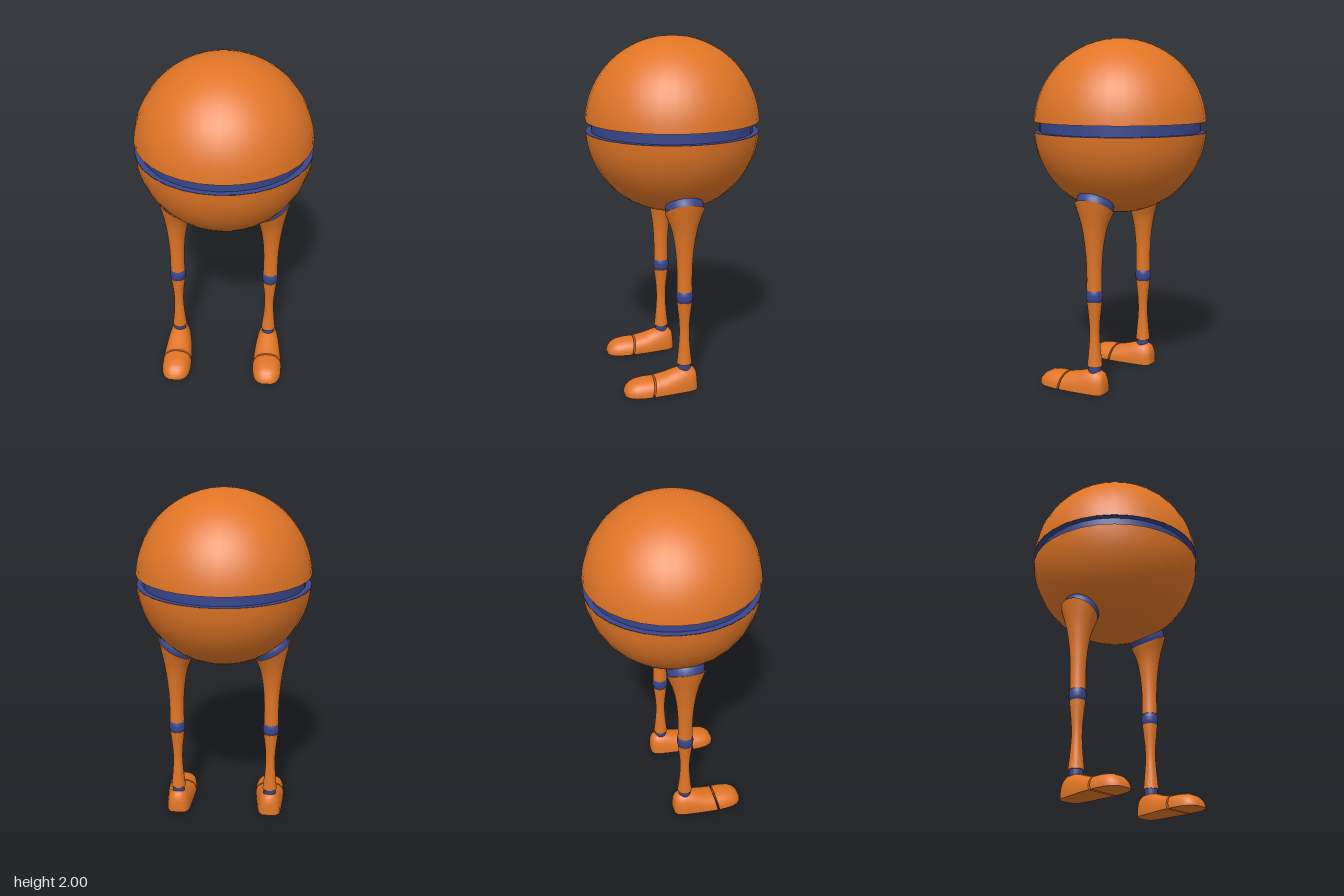
import * as THREE from 'three';
import { toCreasedNormals } from 'three/addons/utils/BufferGeometryUtils.js';

const orange = new THREE.MeshStandardMaterial({ color: 0xe07526 });
orange.name = 'orange shell';
const blue = new THREE.MeshStandardMaterial({ color: 0x38468c });
blue.name = 'blue joint';

const CREASE = 0.7;
const HIP_Y = 1.068, KNEE_Y = 0.6, LEG_X = 0.284, TILT = 0.505;

function part(name, geometry, material) {
  const mesh = new THREE.Mesh(toCreasedNormals(geometry, CREASE), material);
  mesh.name = name;
  return mesh;
}

// Turned shape from [radius, y] pairs, listed bottom to top.
function turned(points, segments = 24) {
  return new THREE.LatheGeometry(points.map(([r, y]) => new THREE.Vector2(r, y)), segments);
}

// Same, with the profile smoothed by a spline and both ends closed.
function turnedSmooth(points, steps = 14) {
  const curve = new THREE.SplineCurve(points.map(([r, y]) => new THREE.Vector2(r, y)));
  const p = curve.getPoints(steps).map((v) => [v.x, v.y]);
  return turned([[0, p[0][1]], ...p, [0, p[p.length - 1][1]]]);
}

// Half of the ball body, cut just above or below the middle.
function halfBall(sign) {
  const R = 0.495, cut = Math.asin(0.03 / R), pts = [];
  for (let i = 0; i <= 16; i++) {
    const a = cut + (Math.PI / 2 - cut) * (i / 16);
    pts.push([i === 16 ? 0 : R * Math.cos(a), 1.505 + sign * R * Math.sin(a)]);
  }
  return turned(sign > 0 ? pts : pts.reverse(), 32);
}

// Flat-soled loft along z; sections are [z, halfWidth, height, lean].
function soleLoft(sections) {
  const N = 18, pos = [], idx = [];
  for (const [z, w, h, lean] of sections) {
    for (let j = 0; j <= N; j++) {
      const a = Math.PI * j / N, c = Math.cos(a), s = Math.max(0, Math.sin(a));
      const y = h * Math.pow(s, 0.85);
      pos.push(w * Math.sign(c) * Math.pow(Math.abs(c), 0.85), y, z - lean * y);
    }
  }
  const ring = N + 1, last = (sections.length - 1) * ring;
  for (let i = 0; i < sections.length - 1; i++) {
    for (let j = 0; j < ring; j++) {
      const k = (j + 1) % ring;
      const a = i * ring + j, b = i * ring + k, c = b + ring, d = a + ring;
      idx.push(a, b, c, a, c, d);
    }
  }
  for (let j = 1; j < N; j++) {
    idx.push(0, j + 1, j);
    idx.push(last, last + j, last + j + 1);
  }
  const g = new THREE.BufferGeometry();
  g.setAttribute('position', new THREE.Float32BufferAttribute(pos, 3));
  g.setIndex(idx);
  return g;
}

// Thigh flares upward while its rings tilt to face the ball.
function thighGeometry(side) {
  const g = turnedSmooth([[0.044, KNEE_Y], [0.043, 0.68], [0.046, 0.77], [0.056, 0.87],
    [0.076, 0.97], [0.112, HIP_Y]], 20);
  const p = g.attributes.position;
  for (let i = 0; i < p.count; i++) {
    const x = p.getX(i), y = p.getY(i);
    const angle = side * TILT * Math.pow((y - KNEE_Y) / (HIP_Y - KNEE_Y), 2);
    p.setXY(i, x * Math.cos(angle), y + x * Math.sin(angle));
  }
  return g;
}

function leg(side) {
  const g = new THREE.Group();
  g.name = side > 0 ? 'leftLeg' : 'rightLeg';
  g.position.x = side * LEG_X;

  const hip = part('hipJoint', turned([[0, -0.01], [0.104, -0.01], [0.108, 0.02],
    [0.106, 0.04], [0.098, 0.055], [0, 0.06]]), blue);
  hip.position.y = HIP_Y;
  hip.rotation.z = side * TILT;
  g.add(hip);

  g.add(part('thigh', thighGeometry(side), orange));
  g.add(part('kneeJoint', turnedSmooth([[0.04, 0.532], [0.047, 0.55], [0.048, 0.568],
    [0.047, 0.585], [0.04, 0.603]], 10), blue));
  g.add(part('shin', turnedSmooth([[0.044, 0.155], [0.036, 0.23], [0.029, 0.33],
    [0.031, 0.41], [0.038, 0.48], [0.044, 0.535]], 18), orange));
  g.add(part('ankleJoint', turned([[0, 0.11], [0.037, 0.11], [0.036, 0.157], [0, 0.157]]), blue));

  g.add(part('foot', soleLoft([
    [-0.072, 0.03, 0.07, 0], [-0.067, 0.045, 0.1, 0], [-0.055, 0.058, 0.12, 0],
    [-0.03, 0.068, 0.13, 0], [0.02, 0.075, 0.13, 0], [0.06, 0.079, 0.12, 0],
    [0.12, 0.085, 0.102, 0.08], [0.195, 0.09, 0.086, 0.2],
  ]), orange));
  g.add(part('toe', soleLoft([
    [0.206, 0.09, 0.086, 0.2], [0.25, 0.089, 0.085, 0.1], [0.295, 0.083, 0.077, 0],
    [0.325, 0.071, 0.062, 0], [0.345, 0.054, 0.043, 0], [0.357, 0.03, 0.018, 0],
  ]), orange));
  return g;
}

export function createModel() {
  const model = new THREE.Group();
  model.name = 'ballWalker';
  model.add(part('upperBody', halfBall(1), orange));
  model.add(part('lowerBody', halfBall(-1), orange));
  // Recessed middle band with flanges closing both halves.
  model.add(part('middleBand', turned([[0.493, 1.475], [0.46, 1.475], [0.46, 1.535],
    [0.493, 1.535]], 32), blue));
  for (const side of [1, -1]) model.add(leg(side));
  return model;
}
